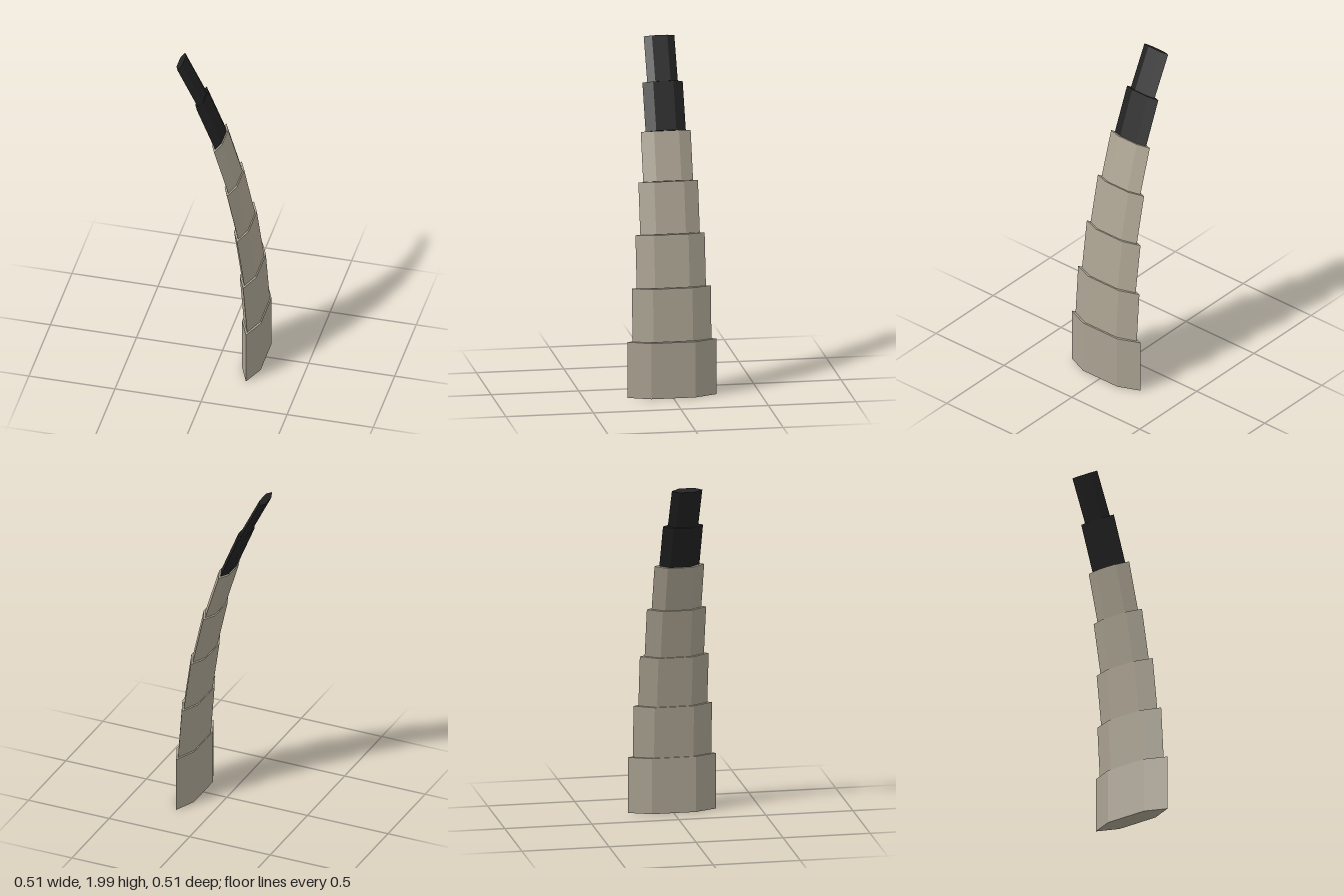
import * as THREE from 'three';

export function createModel() {
  const group = new THREE.Group();
  group.name = 'curvedHorn';

  const bone = new THREE.MeshStandardMaterial({ color: 0xaba392, flatShading: true });
  bone.name = 'bone';
  const black = new THREE.MeshStandardMaterial({ color: 0x222222, flatShading: true });
  black.name = 'black tip';

  // Centre line of the horn: each pair of points carries one segment
  const path = [
    [0.199, 0], [0.199, 0.324], [0.176, 0.628], [0.133, 0.927],
    [0.069, 1.217], [-0.014, 1.489], [-0.121, 1.748], [-0.24, 1.985],
  ].map(([x, y]) => new THREE.Vector2(x, y));
  const flatness = 0.245; // thickness relative to width

  for (let i = 0; i < path.length - 1; i++) {
    const a = path[i], b = path[i + 1];
    const radius = 0.253 - i * 0.0276;
    const length = a.distanceTo(b);

    // Flattened hexagonal prism, points towards +z and -z
    const geometry = new THREE.CylinderGeometry(radius, radius, length, 6);
    geometry.scale(flatness, 1, 1);

    const segment = new THREE.Mesh(geometry, i < 5 ? bone : black);
    segment.name = i < 5 ? `hornSegment${i + 1}` : `tipSegment${i - 4}`;
    segment.position.set((a.x + b.x) / 2, (a.y + b.y) / 2, 0);
    segment.rotation.z = Math.atan2(a.x - b.x, b.y - a.y);
    group.add(segment);
  }
  return group;
}
